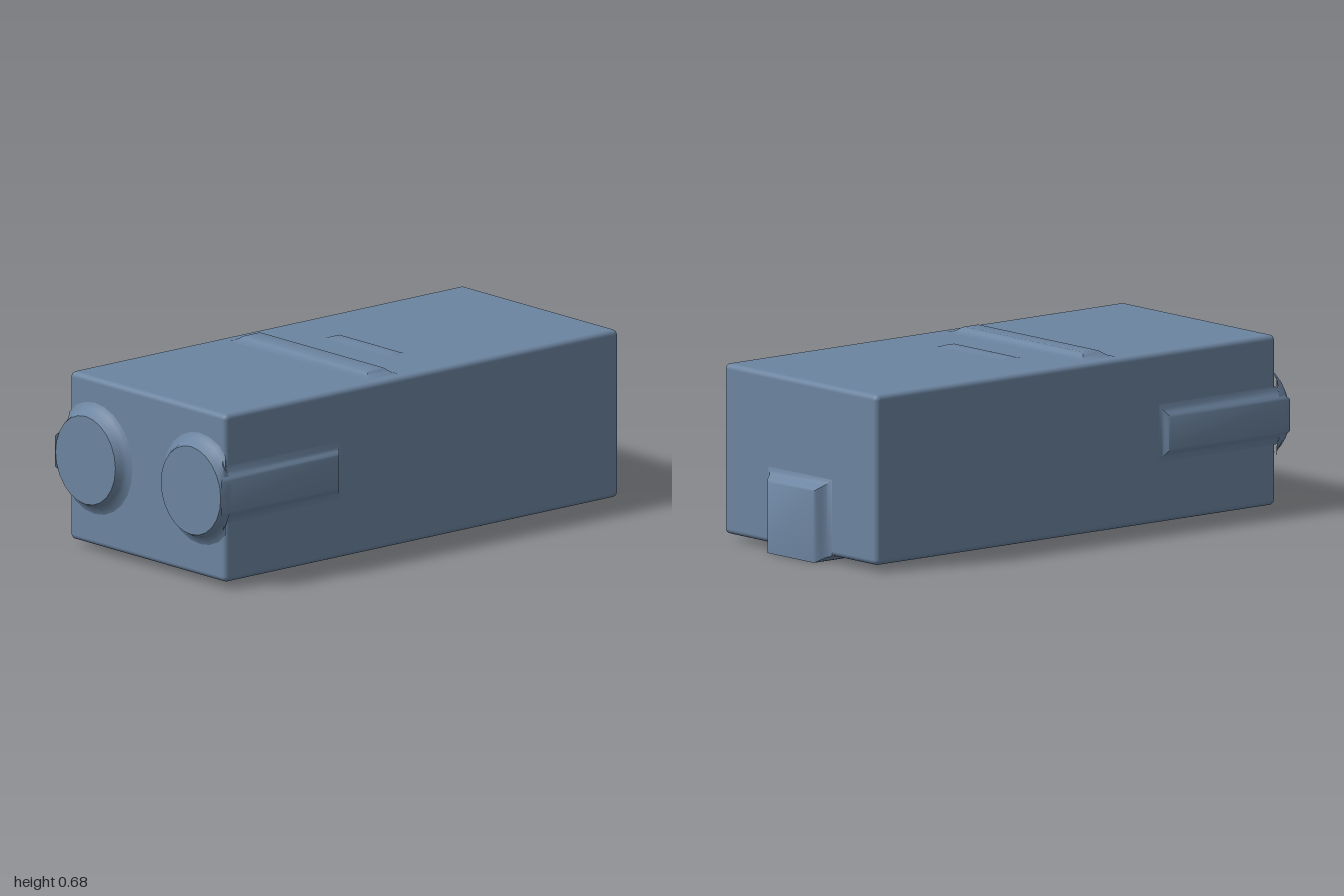
import * as THREE from 'three';
import { toCreasedNormals } from 'three/addons/utils/BufferGeometryUtils.js';
import { RoundedBoxGeometry } from 'three/addons/geometries/RoundedBoxGeometry.js';

// Raised pad along +z: flat top [u0,u1]x[v0,v1] with flared sides.
// flare = [left, right, bottom, top]; a negative value makes a mitred edge.
function padGeometry(u0, u1, v0, v1, height, flare) {
  const layers = [[1, 0], [0.62, 0.18], [0.38, 0.5], [0.17, 0.85], [0, 1]];
  const [l, r, b, t] = flare;
  const pos = [], idx = [];
  const at = (d, f, h) => d < 0 ? d * (1 - h) : d * f;
  for (const [f, h] of layers) {
    const a = u0 - at(l, f, h), c = u1 + at(r, f, h);
    const d = v0 - at(b, f, h), e = v1 + at(t, f, h), z = height * h;
    pos.push(a, d, z, c, d, z, c, e, z, a, e, z);
  }
  for (let i = 0; i < layers.length - 1; i++) {
    for (let j = 0; j < 4; j++) {
      const p = i * 4 + j, q = i * 4 + (j + 1) % 4;
      idx.push(p, q, q + 4, p, q + 4, p + 4);
    }
  }
  const k = (layers.length - 1) * 4;
  idx.push(k, k + 1, k + 2, k, k + 2, k + 3);
  const geo = new THREE.BufferGeometry();
  geo.setAttribute('position', new THREE.Float32BufferAttribute(pos, 3));
  geo.setIndex(idx);
  return toCreasedNormals(geo, 0.8);
}

// Round front boss with a flared foot, trimmed to the line of the side rib
function bossGeometry(side) {
  const profile = [[0.21, 0], [0.19, 0.009], [0.178, 0.022], [0.171, 0.037], [0.166, 0.045], [0, 0.045]]
    .map(([r, h]) => new THREE.Vector2(r, h));
  const geo = new THREE.LatheGeometry(profile, 24);
  geo.rotateX(Math.PI / 2);
  geo.translate(side * 0.292, 0.355, 0.955);
  const p = geo.attributes.position;
  for (let i = 0; i < p.count; i++) {
    const dy = Math.abs(p.getY(i) - 0.355);
    const limit = Math.max(0.433, 0.46 - Math.max(0, dy - 0.06) * 0.5);
    p.setX(i, THREE.MathUtils.clamp(p.getX(i), -limit, limit));
  }
  return toCreasedNormals(geo, 0.7);
}

export function createModel() {
  const group = new THREE.Group();
  const blue = new THREE.MeshStandardMaterial({ color: 0x6c84a0 });
  blue.name = 'slate blue';

  const add = (name, geo) => {
    const mesh = new THREE.Mesh(geo, blue);
    mesh.name = name;
    group.add(mesh);
    return mesh;
  };

  // Main block
  add('body', new RoundedBoxGeometry(0.866, 0.632, 1.91, 4, 0.02)).position.y = 0.341;

  // Front bosses and the ribs running back from them
  for (const side of [1, -1]) {
    const name = side > 0 ? 'left' : 'right';
    add(name + 'FrontBoss', bossGeometry(side));
    const rib = side > 0
      ? padGeometry(-1, -0.43, 0.3, 0.415, 0.027, [-0.045, 0.035, 0.05, 0.05])
      : padGeometry(0.43, 1, 0.3, 0.415, 0.027, [0.035, -0.045, 0.05, 0.05]);
    const mesh = add(name + 'SideRib', rib);
    mesh.rotation.y = side * Math.PI / 2;
    mesh.position.x = side * 0.433;
  }

  // Ridges across the top
  const ridge = add('topRidge', padGeometry(-0.335, 0.335, -0.18, -0.115, 0.022, [0.05, 0.05, 0.045, 0.04]));
  const smallRidge = add('smallTopRidge', padGeometry(-0.16, 0.16, 0.085, 0.115, 0.007, [0.03, 0.03, 0.03, 0.03]));
  for (const m of [ridge, smallRidge]) {
    m.rotation.x = -Math.PI / 2;
    m.position.y = 0.657;
  }

  // Catch wrapping around the lower rear edge, mitred where its halves meet
  const rear = add('rearCatch', padGeometry(-0.13, 0.13, 0, 0.265, 0.045, [0.05, 0.05, -0.025, 0.045]));
  rear.rotation.y = Math.PI;
  rear.position.z = -0.955;
  const under = add('lowerCatch', padGeometry(-0.13, 0.13, -1, -0.7, 0.025, [0.05, 0.05, -0.045, 0.05]));
  under.rotation.x = Math.PI / 2;
  under.position.y = 0.025;

  return group;
}
